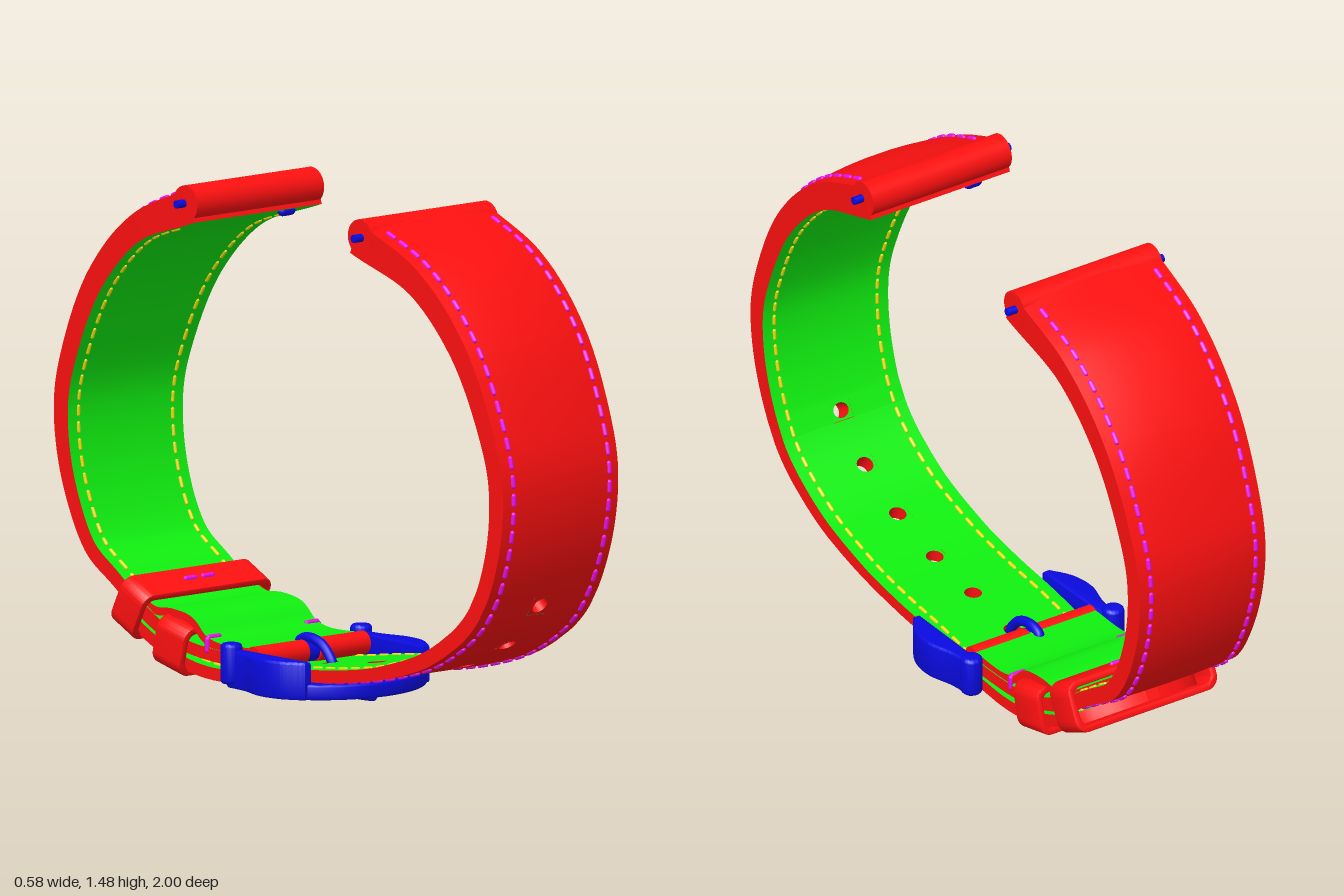
import * as THREE from 'three';
import { mergeGeometries, toCreasedNormals } from 'three/addons/utils/BufferGeometryUtils.js';

const mat = (color) => new THREE.MeshStandardMaterial({ color, side: THREE.DoubleSide });
const RED = mat(0xff1010), GREEN = mat(0x10f010), BLUE = mat(0x0a0ae0), PINK = mat(0xf010f0), YELLOW = mat(0xf0e010);

function add(parent, name, geo, material) {
  const m = new THREE.Mesh(geo, material);
  m.name = name;
  parent.add(m);
  return m;
}

// Surface grid from a function of two parameters, optionally skipping cells
function grid(fn, us, vs, skip = () => false) {
  const pos = [], idx = [], n = vs.length;
  for (const u of us) for (const v of vs) pos.push(...fn(u, v).toArray());
  for (let i = 0; i < us.length - 1; i++) for (let j = 0; j < n - 1; j++) {
    if (skip((us[i] + us[i + 1]) / 2, (vs[j] + vs[j + 1]) / 2)) continue;
    const a = i * n + j, b = a + n;
    idx.push(a, b, a + 1, b, b + 1, a + 1);
  }
  const g = new THREE.BufferGeometry();
  g.setAttribute('position', new THREE.Float32BufferAttribute(pos, 3));
  g.setIndex(idx);
  g.computeVertexNormals();
  return g;
}

const HOLE = { r: 0.026, h: 0.034, v: 0.034 / 0.215 };

// Strap swept along its outer profile [z, y]; f = 1 for the front half, -1 for the back half
function strap(name, pts, f, { width, thick, crown = () => 0, holes = [] }) {
  const curve = new THREE.CatmullRomCurve3(pts.map(([z, y]) => new THREE.Vector3(0, y, z)), false, 'centripetal');
  curve.arcLengthDivisions = 600;
  const L = curve.getLength();
  const P = (s, v, d) => { // d: 0 outer face, 1 lining face
    const u = THREE.MathUtils.clamp(s / L, 0, 1);
    const p = curve.getPointAt(u), t = curve.getTangentAt(u);
    const off = THREE.MathUtils.lerp(crown(s) * v * v, thick(s), d);
    return new THREE.Vector3(v * width(s, L), p.y - f * t.z * off, p.z + f * t.y * off);
  };
  const near = (s) => holes.some((c) => Math.abs(s - c) < HOLE.h + 0.001);
  let rows = Array.from({ length: 111 }, (_, i) => (i / 110) * L).filter((s) => !near(s));
  for (let k = 1; k < 8; k++) rows.push(L - 0.0004 * k * k); // finer rows at the tip
  for (const c of holes) rows.push(c - HOLE.h, c + HOLE.h);
  rows.sort((a, b) => a - b);
  const cols = [-1, -0.8, -0.6, -0.4, -HOLE.v, HOLE.v, 0.4, 0.6, 0.8, 1];
  const skip = (s, v) => near(s) && Math.abs(v) < HOLE.v;
  const outer = [grid((s, v) => P(s, v, 0), rows, cols, skip)];
  const inner = [grid((s, v) => P(s, v, 1), rows, cols, skip)];
  for (const e of [-1, 1]) outer.push(grid((s, d) => P(s, e, d), rows, [0, 1]));
  for (const s of [0, L]) outer.push(grid((v, d) => P(s, v, d), cols, [0, 1]));
  // Punched holes: square-to-circle rims and a round wall
  const turn = Array.from({ length: 25 }, (_, i) => (i / 24) * Math.PI * 2);
  for (const c of holes) {
    const rim = (d) => (a, k) => {
      const x = Math.cos(a), y = Math.sin(a);
      const q = THREE.MathUtils.lerp(HOLE.r, HOLE.h / Math.max(Math.abs(x), Math.abs(y)), k);
      return P(c + y * q, (x * q * HOLE.v) / HOLE.h, d);
    };
    outer.push(grid(rim(0), turn, [0, 1]), grid((a, d) => rim(d)(a, 0), turn, [0, 1]));
    inner.push(grid(rim(1), turn, [0, 1]));
  }
  const group = new THREE.Group();
  group.name = name;
  add(group, name + 'Leather', mergeGeometries(outer), RED);
  add(group, name + 'Lining', mergeGeometries(inner), GREEN);
  return { group, P, L };
}

// One thread stitch between two points
function stitch(a, b, r = 0.008) {
  const dir = b.clone().sub(a), len = dir.length();
  const q = new THREE.Quaternion().setFromUnitVectors(new THREE.Vector3(0, 1, 0), dir.normalize());
  const g = new THREE.CapsuleGeometry(r, Math.max(len - r, 0.01), 3, 6);
  return g.applyQuaternion(q).translate((a.x + b.x) / 2, (a.y + b.y) / 2, (a.z + b.z) / 2);
}

// Two mirrored stitch rows along a strap face
function stitchRows({ group, P }, name, s0, s1, v, d, material) {
  const list = [];
  for (let s = s0; s < s1; s += 0.056)
    for (const m of [-v, v]) list.push(stitch(P(s, m, d), P(s + 0.034, m, d), d ? 0.006 : 0.008));
  add(group, name, mergeGeometries(list), material);
}

// Cylinder lying across the strap
function crossBar(r, len, x, y, z) {
  return new THREE.CylinderGeometry(r, r, len, 24).rotateZ(Math.PI / 2).translate(x, y, z);
}

// Plan outline (x, z) raised between two heights
function plan(shape, y0, y1, bevel = 0.008) {
  const g = new THREE.ExtrudeGeometry(shape, {
    depth: y1 - y0 - 2 * bevel, bevelSize: bevel, bevelThickness: bevel, bevelOffset: -bevel, bevelSegments: 3, curveSegments: 20,
  });
  return toCreasedNormals(g.rotateX(Math.PI / 2).translate(0, y1 - bevel, 0), 0.6);
}

function roundRect(path, w, h, r) {
  path.moveTo(-w + r, -h);
  path.lineTo(w - r, -h).absarc(w - r, -h + r, r, -Math.PI / 2, 0);
  path.lineTo(w, h - r).absarc(w - r, h - r, r, 0, Math.PI / 2);
  path.lineTo(-w + r, h).absarc(-w + r, h - r, r, Math.PI / 2, Math.PI);
  path.lineTo(-w, -h + r).absarc(-w + r, -h + r, r, Math.PI, Math.PI * 1.5);
  return path;
}

// Keeper loop around both strap layers
function keeper(parent, name, y, z, tilt, hh, depth) {
  const shape = roundRect(new THREE.Shape(), 0.25, hh, 0.04);
  shape.holes.push(roundRect(new THREE.Path(), 0.228, hh - 0.021, 0.025));
  const g = new THREE.ExtrudeGeometry(shape, {
    depth: depth - 0.01, bevelSize: 0.005, bevelThickness: 0.005, bevelOffset: -0.005, bevelSegments: 2, curveSegments: 8,
  });
  const m = add(parent, name, toCreasedNormals(g.translate(0, 0, -depth / 2 + 0.005), 0.6), RED);
  m.position.set(0, y, z);
  m.rotation.x = tilt;
  return m;
}

export function createModel() {
  const model = new THREE.Group();
  model.name = 'watchStrap';
  const arch = [[0.385, 1.478], [0.65, 1.37], [0.84, 1.18], [0.955, 0.95], [1, 0.765], [0.97, 0.54], [0.865, 0.335]];
  const taper = (s) => THREE.MathUtils.lerp(0.245, 0.215, Math.min(s / 1.35, 1));
  const thick = (s) => Math.max(0.037, 0.113 - 0.038 * s);
  const crown = (s) => 0.026 * Math.min(1, 0.4 + 2 * s) * Math.max(0, 1 - s / 1.9);

  // Front half with punched holes, running under the buckle to a rounded tip
  const tip = 0.14;
  const front = strap('holeStrap', [...arch, [0.675, 0.2], [0.46, 0.13], [0.25, 0.092], [0.1, 0.075], [-0.1, 0.045],
    [-0.29, 0.03], [-0.42, 0.045], [-0.55, 0.09], [-0.65, 0.14], [-0.745, 0.205]], 1, {
    thick, crown,
    width: (s, L) => taper(s) * Math.sqrt(Math.max(0.01, 1 - Math.max(0, (s - L + tip) / tip) ** 2)),
    holes: Array.from({ length: 7 }, (_, i) => 1.41 + 0.2 * i),
  });
  stitchRows(front, 'outerStitches', 0.08, front.L - tip, 0.83, 0, PINK);
  stitchRows(front, 'innerStitches', 0.12, front.L - tip, 0.82, 1, YELLOW);

  // Back half ending at the buckle bar
  const back = strap('buckleStrap', [...arch.map(([z, y]) => [-z, y]), [-0.74, 0.25], [-0.64, 0.187], [-0.55, 0.14],
    [-0.42, 0.098], [-0.3, 0.085], [-0.125, 0.084]], -1, { thick, crown, width: taper });
  stitchRows(back, 'outerStitches', 0.08, back.L - 0.1, 0.83, 0, PINK);
  stitchRows(back, 'innerStitches', 0.12, 1.72, 0.82, 1, YELLOW);

  // Folded-back flap humping over the fixed keeper
  const flap = strap('foldedFlap', [[-0.62, 0.212], [-0.55, 0.19], [-0.48, 0.193], [-0.4, 0.18], [-0.345, 0.137],
    [-0.28, 0.118], [-0.125, 0.12]], -1, { width: () => 0.212, thick: () => 0.024 });
  for (const part of [front, back, flap]) model.add(part.group);
  for (const m of [-1, 1]) {
    add(model, 'foldedEnd', crossBar(0.034, 0.19, m * 0.117, 0.116, -0.122), RED);
    add(model, 'flapStitch', stitch(new THREE.Vector3(m * 0.165, 0.152, -0.322), new THREE.Vector3(m * 0.213, 0.152, -0.322)), PINK);
    add(model, 'flapEdgeStitch', stitch(new THREE.Vector3(m * 0.214, 0.11, -0.322), new THREE.Vector3(m * 0.214, 0.15, -0.322)), PINK);
  }

  // Rounded lug ends with spring bars and release knobs
  for (const f of [1, -1]) {
    add(model, 'lugEnd', crossBar(0.053, 0.488, 0, 1.424, f * 0.384), RED);
    add(model, 'springBar', crossBar(0.012, 0.55, 0, 1.424, f * 0.39), BLUE);
    add(model, 'releaseKnob', new THREE.CapsuleGeometry(0.015, 0.03, 4, 10).rotateZ(Math.PI / 2)
      .translate(-f * 0.13, 1.363, f * 0.367), BLUE);
  }

  // Keepers
  keeper(model, 'fixedKeeper', 0.113, -0.455, 0.23, 0.075, 0.125);
  const free = keeper(model, 'freeKeeper', 0.2, -0.638, 0.46, 0.078, 0.108);
  for (const m of [-1, 1])
    add(free, 'keeperStitch', stitch(new THREE.Vector3(m * 0.012, 0.079, 0), new THREE.Vector3(m * 0.055, 0.079, 0)), PINK);

  // Buckle frame
  const buckle = new THREE.Group();
  buckle.name = 'buckle';
  model.add(buckle);
  for (const m of [-1, 1]) {
    const side = new THREE.Shape();
    side.moveTo(m * 0.222, -0.18);
    side.lineTo(m * 0.262, -0.18);
    side.splineThru([[0.268, -0.1], [0.291, -0.01], [0.28, 0.07], [0.24, 0.137]].map(([x, z]) => new THREE.Vector2(m * x, z)));
    side.lineTo(m * 0.217, 0.137);
    side.closePath();
    add(buckle, 'buckleSide', plan(side, 0.028, 0.14), BLUE);
    const knob = new THREE.Shape().absarc(m * 0.25, -0.175, 0.032, 0, Math.PI * 2);
    add(buckle, 'buckleKnob', plan(knob, 0.04, 0.16, 0.012), BLUE);
  }
  const bow = new THREE.Shape();
  bow.moveTo(-0.28, 0.05);
  bow.bezierCurveTo(-0.24, 0.17, -0.12, 0.24, 0, 0.24);
  bow.bezierCurveTo(0.12, 0.24, 0.24, 0.17, 0.28, 0.05);
  bow.lineTo(0.22, 0.05);
  bow.bezierCurveTo(0.19, 0.11, 0.1, 0.145, 0, 0.145);
  bow.bezierCurveTo(-0.1, 0.145, -0.19, 0.11, -0.22, 0.05);
  add(buckle, 'buckleBow', plan(bow, 0.028, 0.074), BLUE);
  add(buckle, 'buckleBar', crossBar(0.015, 0.5, 0, 0.116, -0.122), BLUE);

  // Tongue hooked on the bar and passing through a hole
  const path = new THREE.CatmullRomCurve3([[-0.165, 0.11], [-0.16, 0.14], [-0.122, 0.155], [-0.06, 0.14], [-0.02, 0.1],
    [0, 0.055], [0.04, 0.022], [0.09, 0.016], [0.16, 0.018]].map(([z, y]) => new THREE.Vector3(0, y, z)));
  add(buckle, 'tongue', new THREE.TubeGeometry(path, 48, 0.015, 12), BLUE);
  add(buckle, 'tongueTip', new THREE.SphereGeometry(0.015, 12, 8).translate(0, 0.018, 0.16), BLUE);
  add(buckle, 'tongueHook', crossBar(0.032, 0.036, 0, 0.116, -0.122), BLUE);
  return model;
}
